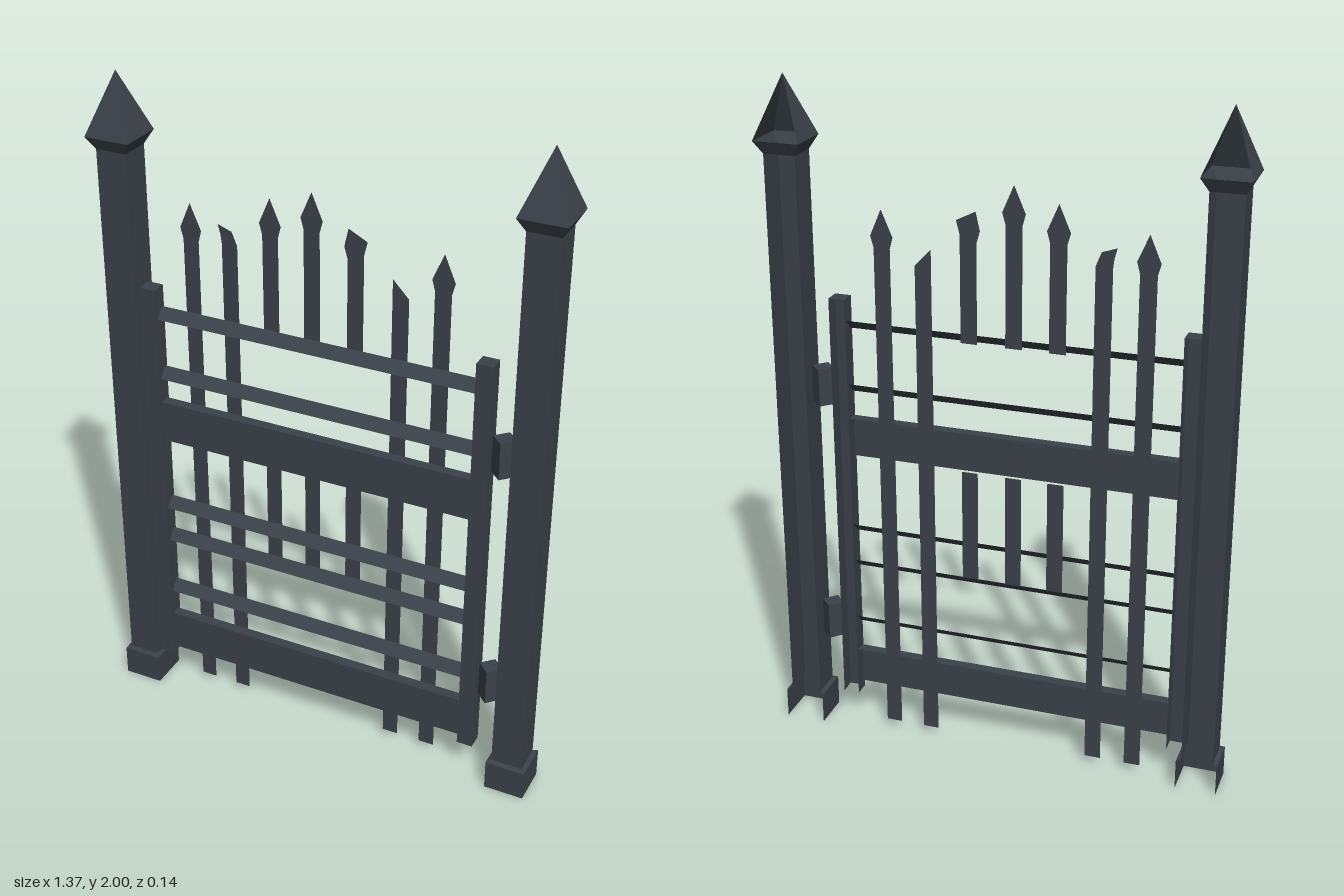
import * as THREE from 'three';

const iron = new THREE.MeshStandardMaterial({ color: 0x3a4148, side: THREE.DoubleSide });
iron.name = 'dark iron';

// Square-sectioned shell through rings [y, halfWidth, halfDepth, hasBack].
// hasBack tells whether the segment above that ring is closed at the rear.
function shell(rings) {
  const pos = [];
  const corner = ([y, w, d], i) => [[-w, y, d], [w, y, d], [w, y, -d], [-w, y, -d]][i % 4];
  for (let r = 0; r < rings.length - 1; r++) {
    for (let i = 0; i < 4; i++) {
      if (i === 2 && !rings[r][3]) continue;
      const a = corner(rings[r], i), b = corner(rings[r], i + 1);
      const c = corner(rings[r + 1], i + 1), d = corner(rings[r + 1], i);
      pos.push(...a, ...b, ...c);
      if (rings[r + 1][1] > 0) pos.push(...a, ...c, ...d);
    }
  }
  const geo = new THREE.BufferGeometry();
  geo.setAttribute('position', new THREE.Float32BufferAttribute(pos, 3));
  geo.computeVertexNormals();
  return geo;
}

// Bar with an open rear and underside and a closed top
const openBar = (w, y0, y1, d) => shell([[y0, w / 2, d / 2, false], [y1, w / 2, d / 2, true], [y1, 0, 0, true]]);

function flat(points) {
  return new THREE.ShapeGeometry(new THREE.Shape(points.map(([x, y]) => new THREE.Vector2(x, y))));
}

export function createModel() {
  const gate = new THREE.Group();
  gate.name = 'irongate';
  const add = (name, geo, x = 0, y = 0, z = 0) => {
    const mesh = new THREE.Mesh(geo, iron);
    mesh.name = name;
    mesh.position.set(x, y, z);
    gate.add(mesh);
    return mesh;
  };

  // Posts: foot, shaft and pointed finial
  for (const x of [-0.619, 0.619]) {
    add('postFoot', shell([[0, 0.06, 0.06], [0.093, 0.06, 0.06], [0.098, 0.047, 0.047]]), x);
    add('postShaft', shell([[0.098, 0.047, 0.047], [1.785, 0.047, 0.047]]), x);
    add('postFinial', shell([[1.785, 0.047, 0.047, true], [1.823, 0.068, 0.068, false], [2, 0, 0]]), x);
  }

  // Stiles at both ends of the leaf
  for (const x of [-0.545, 0.476]) add('stile', openBar(0.048, 0.103, 1.38, 0.048), x);

  const railLength = 0.973, railX = -0.0345;

  // Wide planks
  for (const [y0, y1] of [[0.127, 0.254], [0.89, 1.018]]) {
    add('plank', openBar(railLength, y0, y1, 0.032), railX);
  }

  // Thin rails: strips leaning backwards
  for (const y of [0.355, 0.546, 0.663, 1.109, 1.301]) {
    const rail = add('rail', new THREE.PlaneGeometry(railLength, 0.043), railX, y);
    rail.rotation.x = -Math.PI / 4;
  }

  // Pickets with spear tips; broken ones have slanted ends
  const h = 0.024, back = -0.0165;
  const spear = (bottom, top) => flat([
    [-h, bottom], [h, bottom], [h, top - 0.11], [0.033, top - 0.077],
    [0, top], [-0.033, top - 0.077], [-h, top - 0.11],
  ]);
  for (const [x, bottom, top] of [[-0.417, 0.025, 1.65], [0.337, 0.025, 1.65], [-0.17, 1.29, 1.71], [-0.045, 1.29, 1.75]]) {
    add('picket', spear(bottom, top), x, 0, back);
  }
  add('brokenPicket', flat([
    [-h, 0.025], [h, 0.025], [h, 1.55], [0.008, 1.59], [-0.035, 1.605], [-0.027, 1.575], [-h, 1.55],
  ]), -0.296, 0, back);
  add('brokenPicket', flat([[-h, 0.025], [h, 0.025], [h, 1.5], [-h, 1.55]]), 0.217, 0, back);
  add('brokenPicket', flat([
    [-h, 1.29], [h, 1.29], [h, 1.6], [0.034, 1.64], [-0.022, 1.668], [-0.034, 1.615], [-h, 1.58],
  ]), 0.085, 0, back);

  // Short lower pickets ending at the plank
  for (const x of [-0.17, -0.045, 0.085]) {
    add('shortPicket', flat([[-h, 0.56], [h, 0.56], [h, 0.9], [-h, 0.9]]), x, 0, back);
  }

  // Hinges: square pins turned on edge
  const hinge = new THREE.CylinderGeometry(0.035, 0.035, 0.112, 4).toNonIndexed();
  hinge.computeVertexNormals();
  for (const y of [0.345, 1.108]) add('hinge', hinge, 0.536, y);

  return gate;
}
